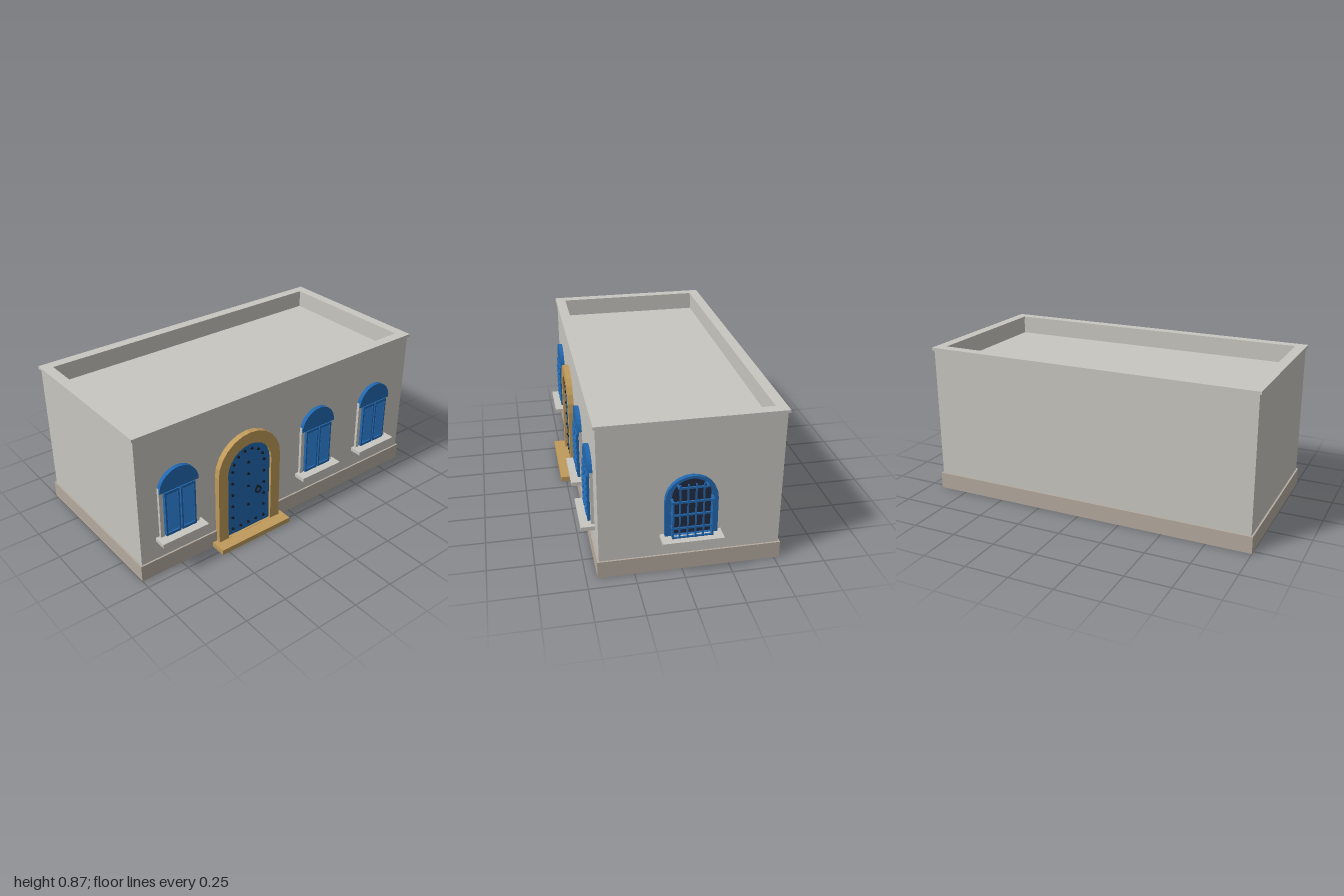
import * as THREE from 'three';

const mat = (name, color) => {
  const m = new THREE.MeshStandardMaterial({ color });
  m.name = name;
  return m;
};

export function createModel() {
  const stone = mat('stone', 0xc8c6c0);
  const plinthStone = mat('plinth stone', 0xb4aa9f);
  const sandstone = mat('sandstone', 0xc09a5a);
  const blue = mat('blue paint', 0x2268b0);
  const glass = mat('dark glass', 0x222b3f);
  const iron = mat('black iron', 0x14181f);

  const add = (parent, name, geo, material, x = 0, y = 0, z = 0) => {
    const m = new THREE.Mesh(geo, material);
    m.name = name;
    m.position.set(x, y, z);
    parent.add(m);
    return m;
  };
  // Box given by its limits
  const box = (parent, name, material, x0, x1, y0, y1, z0, z1) =>
    add(parent, name, new THREE.BoxGeometry(x1 - x0, y1 - y0, z1 - z0), material,
      (x0 + x1) / 2, (y0 + y1) / 2, (z0 + z1) / 2);
  // Round-headed outline: straight sides from bottom up to the spring line
  const arch = (r, bottom, spring, Type = THREE.Shape) => {
    const s = new Type();
    s.moveTo(-r, bottom);
    s.lineTo(r, bottom);
    s.lineTo(r, spring);
    s.absarc(0, spring, r, 0, Math.PI, false);
    s.closePath();
    return s;
  };
  const extrude = (shape, depth, curveSegments) =>
    new THREE.ExtrudeGeometry(shape, { depth, curveSegments, bevelEnabled: false });
  // Rectangular ring lying flat, used for parapet and coping
  const ring = (x0, x1, z0, z1, t, height) => {
    const rect = (Type, d) => new Type([
      new THREE.Vector2(x0 + d, -z1 + d), new THREE.Vector2(x1 - d, -z1 + d),
      new THREE.Vector2(x1 - d, -z0 - d), new THREE.Vector2(x0 + d, -z0 - d)]);
    const s = rect(THREE.Shape, 0);
    s.holes.push(rect(THREE.Path, t));
    return extrude(s, height, 1).rotateX(-Math.PI / 2);
  };

  const model = new THREE.Group();
  model.name = 'house';

  // Building body with sunken flat roof
  box(model, 'plinth', plinthStone, -1, 0.92, 0, 0.095, -0.528, 0.442);
  box(model, 'walls', stone, -0.99, 0.91, 0.095, 0.76, -0.518, 0.432);
  add(model, 'parapet', ring(-0.99, 0.91, -0.518, 0.432, 0.045, 0.092), stone, 0, 0.76, 0);
  add(model, 'coping', ring(-1, 0.92, -0.528, 0.442, 0.06, 0.016), stone, 0, 0.851, 0);

  // Front windows with louvred shutters
  const wall = 0.432;
  for (const x of [-0.754, 0.198, 0.648]) {
    const w = new THREE.Group();
    w.name = 'shutteredWindow';
    w.position.set(x, 0, wall);
    model.add(w);
    box(w, 'sill', stone, -0.143, 0.143, 0.207, 0.23, 0, 0.073);
    const head = new THREE.Shape();
    head.absarc(0, 0.505, 0.12, 0, Math.PI, false);
    head.closePath();
    add(w, 'archedHead', extrude(head, 0.024, 8), blue);
    for (const s of [-1, 1]) {
      box(w, 'jamb', stone, s * 0.109 - 0.0115, s * 0.109 + 0.0115, 0.23, 0.53, 0, 0.017);
      const shutter = new THREE.Group();
      shutter.name = 'shutter';
      shutter.position.x = s * 0.049;
      w.add(shutter);
      box(shutter, 'backPanel', blue, -0.045, 0.045, 0.235, 0.505, 0.002, 0.021);
      for (const e of [-1, 1])
        box(shutter, 'stile', blue, e * 0.04 - 0.005, e * 0.04 + 0.005, 0.235, 0.505, 0.021, 0.031);
      box(shutter, 'bottomRail', blue, -0.035, 0.035, 0.235, 0.25, 0.021, 0.031);
      box(shutter, 'topRail', blue, -0.035, 0.035, 0.49, 0.505, 0.021, 0.031);
      for (let i = 0; i < 6; i++) {
        const slat = add(shutter, 'slat', new THREE.BoxGeometry(0.07, 0.032, 0.006), blue,
          0, 0.278 + i * 0.0375, 0.028);
        slat.rotation.x = -0.45;
      }
    }
  }

  // Arched doorway
  const door = new THREE.Group();
  door.name = 'doorway';
  door.position.set(-0.305, 0, wall);
  model.add(door);
  box(door, 'doorstep', sandstone, -0.238, 0.238, 0, 0.03, 0, 0.1);
  const surround = arch(0.21, 0.03, 0.448);
  surround.holes.push(arch(0.148, 0.031, 0.44, THREE.Path));
  add(door, 'doorSurround', extrude(surround, 0.034, 6), sandstone);
  add(door, 'doorLeaf', extrude(arch(0.15, 0.03, 0.44), 0.018, 6), blue);

  // Door studs: sides, bottom row, middle column and arch
  const studs = [[-0.053, 0.067], [0.053, 0.067]];
  for (let i = 0; i < 6; i++)
    for (const s of [-1, 1]) studs.push([s * 0.108, 0.067 + i * 0.0755]);
  for (const y of [0.067, 0.187, 0.31, 0.39, 0.465]) studs.push([0, y]);
  for (let i = 1; i < 7; i++) {
    const a = (i * Math.PI) / 7;
    studs.push([0.108 * Math.cos(a), 0.44 + 0.108 * Math.sin(a)]);
  }
  const studGeo = new THREE.CylinderGeometry(0.006, 0.009, 0.008, 8).rotateX(Math.PI / 2);
  for (const [x, y] of studs) add(door, 'stud', studGeo, iron, x, y, 0.022);
  add(door, 'knockerRing', new THREE.TorusGeometry(0.018, 0.005, 6, 16), iron, 0.065, 0.263, 0.026);
  add(door, 'knockerBoss', studGeo, iron, 0.065, 0.281, 0.022);

  // Barred window on the end wall, built facing +z and turned to +x
  const side = new THREE.Group();
  side.name = 'barredWindow';
  side.position.set(0.91, 0, -0.041);
  side.rotation.y = Math.PI / 2;
  model.add(side);
  box(side, 'sill', stone, -0.159, 0.159, 0.202, 0.22, 0, 0.09);
  const frame = arch(0.137, 0.22, 0.422);
  frame.holes.push(arch(0.104, 0.221, 0.441, THREE.Path));
  add(side, 'windowFrame', extrude(frame, 0.024, 6), blue);
  add(side, 'windowPane', extrude(arch(0.106, 0.22, 0.441), 0.008, 6), glass);

  // Projecting iron cage
  for (const s of [-1, 1])
    box(side, 'cageSide', blue, s * 0.102 - 0.004, s * 0.102 + 0.004, 0.225, 0.44, 0.02, 0.052);
  for (const y of [0.283, 0.36, 0.434, 0.514]) {
    const h = y > 0.5 ? 0.074 : 0.106;
    box(side, 'crossBar', blue, -h, h, y - 0.005, y + 0.005, 0.052, 0.06);
    for (const s of [-1, 1])
      box(side, 'barReturn', blue, s * h - 0.004, s * h + 0.004, y - 0.005, y + 0.005, 0.008, 0.06);
  }
  box(side, 'bottomBar', blue, -0.106, 0.106, 0.225, 0.233, 0.052, 0.06);
  [-0.102, -0.069, -0.028, 0.013, 0.053, 0.102].forEach((x, i) => {
    const top = i === 0 || i === 5 ? 0.44 : 0.535;
    box(side, 'uprightBar', blue, x - 0.004, x + 0.004, 0.225, top, 0.054, 0.062);
  });

  return model;
}
